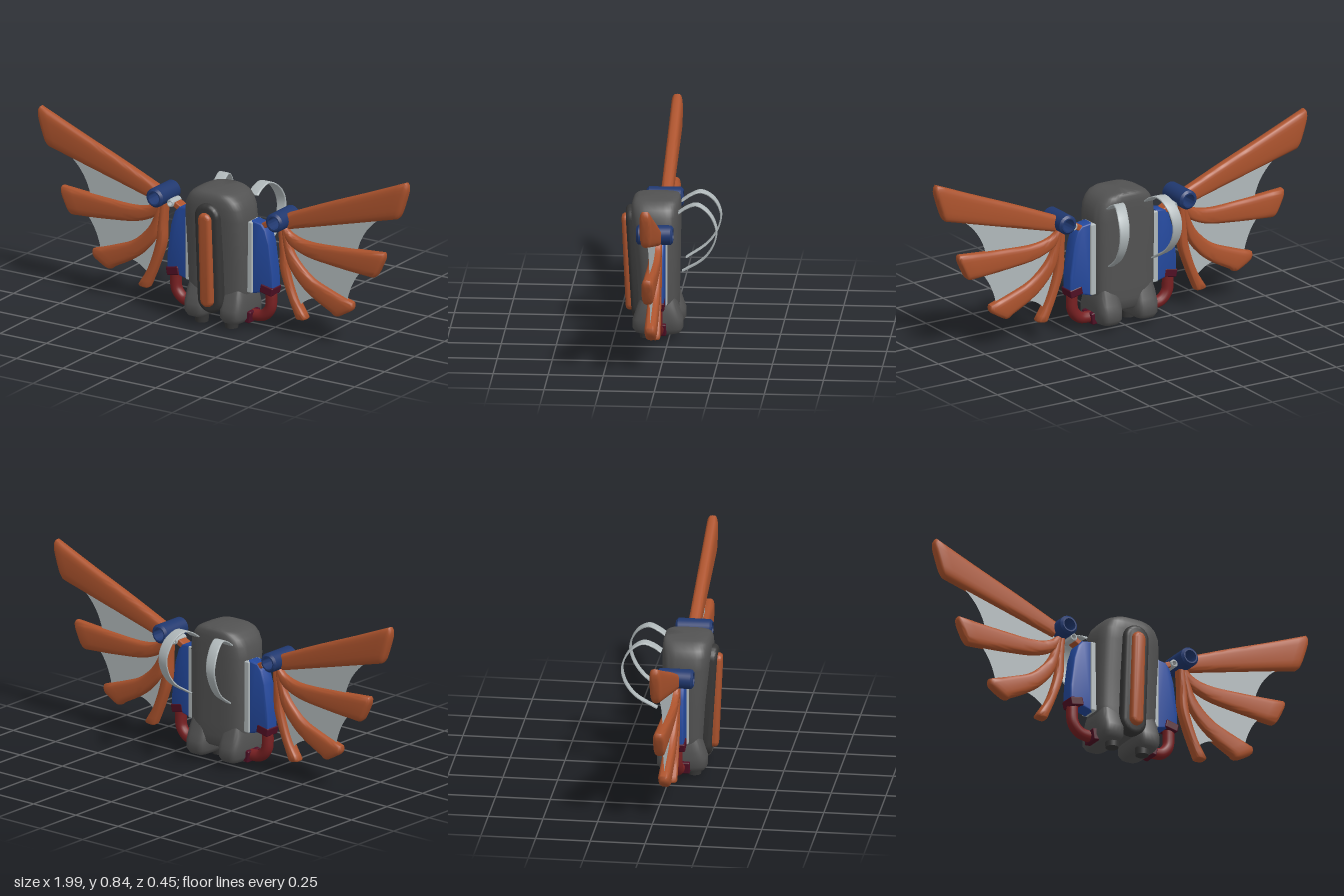
import * as THREE from 'three';
import { toCreasedNormals } from 'three/addons/utils/BufferGeometryUtils.js';
import { RoundedBoxGeometry } from 'three/addons/geometries/RoundedBoxGeometry.js';

const V = (x, y, z) => new THREE.Vector3(x, y, z);
const WING_Z = 0.0425;

// Skin over rings {c: centre, a, b: half axes}; pow < 1 squares the section off
function loft(rings, pow = 0.5, seg = 32) {
  const pos = [], idx = [];
  const n = rings.length, m = n >> 1;
  const dir = rings[m].c.clone().sub(rings[m - 1].c);
  const flip = V(0, 0, 0).crossVectors(rings[m].a, rings[m].b).dot(dir) < 0 ? -1 : 1;
  const sp = v => Math.sign(v) * Math.pow(Math.abs(v), pow);
  for (const { c, a, b } of rings) {
    for (let j = 0; j < seg; j++) {
      const t = (j / seg) * Math.PI * 2;
      const p = c.clone().addScaledVector(a, sp(Math.cos(t))).addScaledVector(b, flip * sp(Math.sin(t)));
      pos.push(p.x, p.y, p.z);
    }
  }
  for (const r of [rings[0], rings[n - 1]]) pos.push(r.c.x, r.c.y, r.c.z);
  for (let j = 0; j < seg; j++) {
    const k = (j + 1) % seg;
    for (let i = 0; i < n - 1; i++) {
      const p = i * seg, q = p + seg;
      idx.push(p + j, p + k, q + j, p + k, q + k, q + j);
    }
    const e = (n - 1) * seg;
    idx.push(n * seg, k, j, n * seg + 1, e + j, e + k);
  }
  const g = new THREE.BufferGeometry();
  g.setAttribute('position', new THREE.Float32BufferAttribute(pos, 3));
  g.setIndex(idx);
  return toCreasedNormals(g, 1.0);
}

// Upright body: rows of [y, half width, z front, z back]
const tower = (x, rows) => loft(rows.map(([y, hx, zf, zb]) => ({
  c: V(x, y, (zf + zb) / 2), a: V(hx, 0, 0), b: V(0, 0, (zf - zb) / 2),
})), 0.55, 40);

// Rounded blade between an upper and a lower edge, root to tip
function feather(upper, lower, bulge) {
  const curve = pts => new THREE.CatmullRomCurve3(pts.map(([x, y]) => V(x, y, WING_Z)));
  const cu = curve(upper), cl = curve(lower), rings = [], N = 16;
  for (let i = 0; i <= N; i++) {
    const u = cu.getPoint(i / N), l = cl.getPoint(i / N);
    rings.push({ c: u.clone().add(l).multiplyScalar(0.5), a: u.sub(l).multiplyScalar(0.5), b: V(0, 0, 0.0275) });
  }
  const end = rings[N], d = V(end.a.y, -end.a.x, 0).normalize();
  for (const [s, k] of [[0.93, 0.5], [0.78, 0.85], [0.55, 1]]) {
    rings.push({
      c: end.c.clone().addScaledVector(d, bulge * k),
      a: end.a.clone().multiplyScalar(s), b: end.b.clone().multiplyScalar(s),
    });
  }
  return loft(rings, 0.6, 24);
}

// Hollow sleeve along z with chamfered rims
function sleeve(ro, ri, len, ch, x, y, z) {
  const h = len / 2;
  const pts = [[ri, -h], [ro - ch, -h], [ro, -h + ch], [ro, h - ch], [ro - ch, h], [ri, h], [ri, -h]];
  const g = new THREE.LatheGeometry(pts.map(p => new THREE.Vector2(...p)), 28);
  return toCreasedNormals(g.rotateX(Math.PI / 2).translate(x, y, z), 0.6);
}

// Bevelled slab centred on z = 0
function slab(shape, depth, bevel) {
  const g = new THREE.ExtrudeGeometry(shape, {
    depth: depth - 2 * bevel, bevelThickness: bevel, bevelSize: bevel, bevelOffset: -bevel,
    bevelSegments: 4, curveSegments: 12,
  });
  return toCreasedNormals(g.translate(0, 0, bevel - depth / 2), 0.7);
}

// Upright pill outline
function pill(r, h) {
  const s = new THREE.Shape(), k = h / 2 - r;
  s.absarc(0, k, r, 0, Math.PI);
  s.absarc(0, -k, r, Math.PI, Math.PI * 2);
  s.closePath();
  return s;
}

const block = (w, h, d, x, y, z, rot = 0) =>
  new RoundedBoxGeometry(w, h, d, 2, 0.006).rotateZ(rot).translate(x, y, z);

// Mirror across x = 0, keeping faces outward
function mirrored(geo) {
  const g = geo.index ? geo.toNonIndexed() : geo.clone();
  g.scale(-1, 1, 1);
  for (const a of Object.values(g.attributes)) {
    const s = a.itemSize, arr = a.array;
    for (let i = 0; i < a.count; i += 3) {
      for (let k = 0; k < s; k++) {
        const p = i * s + k, q = (i + 2) * s + k;
        [arr[p], arr[q]] = [arr[q], arr[p]];
      }
    }
  }
  return g;
}

export function createModel() {
  const mat = (name, color, side = THREE.FrontSide) => {
    const m = new THREE.MeshStandardMaterial({ color, side });
    m.name = name;
    return m;
  };
  const grey = mat('body grey', 0x525252), dark = mat('dark grey', 0x363636);
  const orange = mat('burnt orange', 0xac532d), blue = mat('panel blue', 0x23489c);
  const navy = mat('navy', 0x20386f), red = mat('hose red', 0x782022);
  const maroon = mat('maroon', 0x4f0f24), light = mat('light grey', 0xb0b8ba, THREE.DoubleSide);

  const model = new THREE.Group();
  const add = (name, geo, material, parent = model) => {
    const mesh = new THREE.Mesh(geo, material);
    mesh.name = name;
    parent.add(mesh);
  };

  // Pack body
  add('packBody', tower(0, [
    [0.085, 0.11, 0.12, -0.02], [0.10, 0.135, 0.135, -0.035], [0.14, 0.15, 0.14, -0.04],
    [0.2, 0.156, 0.142, -0.04], [0.35, 0.158, 0.152, -0.043], [0.52, 0.16, 0.17, -0.046],
    [0.575, 0.154, 0.175, -0.046], [0.61, 0.137, 0.174, -0.046], [0.632, 0.117, 0.168, -0.044],
    [0.644, 0.09, 0.157, -0.04], [0.65, 0.06, 0.14, -0.033],
  ]), grey);

  // Sloping front panel with its ridge
  add('frontPanel', slab(pill(0.065, 0.53), 0.07, 0.02).rotateX(0.06).translate(0, 0.335, 0.152), dark);
  add('frontRidge', slab(pill(0.033, 0.455), 0.044, 0.018).rotateX(0.045).translate(0, 0.333, 0.19), orange);

  // Parts of the left side, mirrored for the right
  const parts = [];
  const part = (...p) => parts.push(p);

  part('lowerLobe', tower(0.095, [
    [0.027, 0.034, 0.135, -0.035], [0.034, 0.048, 0.152, -0.052], [0.055, 0.061, 0.165, -0.065],
    [0.095, 0.063, 0.164, -0.064], [0.125, 0.062, 0.153, -0.053], [0.16, 0.058, 0.142, -0.042],
    [0.21, 0.045, 0.12, -0.025],
  ]), grey);
  part('nozzle', new THREE.CylinderGeometry(0.034, 0.03, 0.04, 24).translate(0.08, 0.022, 0.103), dark);

  // Shoulder strap ribbon
  const strapPath = new THREE.CatmullRomCurve3([
    V(0.1, 0.595, -0.045), V(0.103, 0.622, -0.085), V(0.112, 0.636, -0.13), V(0.13, 0.6, -0.187),
    V(0.14, 0.53, -0.219), V(0.142, 0.46, -0.207), V(0.135, 0.39, -0.16), V(0.115, 0.325, -0.063),
  ]);
  const strap = [];
  for (let i = 0; i <= 32; i++) {
    const t = strapPath.getPoint(i / 32), d = strapPath.getTangent(i / 32);
    strap.push({
      c: t, a: V(0.028 - 0.012 * Math.max(0, i / 16 - 1), 0, 0),
      b: V(0, -d.z, d.y).normalize().multiplyScalar(0.004),
    });
  }
  part('shoulderStrap', loft(strap, 0.4, 12), light);

  // Side panel and its backing strip
  const side = new THREE.Shape([[0.17, 0.17], [0.26, 0.195], [0.285, 0.21], [0.284, 0.28], [0.265, 0.42],
    [0.245, 0.485], [0.222, 0.512], [0.17, 0.52]].map(p => new THREE.Vector2(...p)));
  part('sidePanel', slab(side, 0.07, 0.01).translate(0, 0, 0.045), blue);
  part('sideStrip', block(0.03, 0.34, 0.085, 0.165, 0.345, 0.045), light);

  // Hose and collars
  part('hose', new THREE.TubeGeometry(new THREE.CatmullRomCurve3([
    V(0.252, 0.22, 0.045), V(0.257, 0.16, 0.045), V(0.251, 0.105, 0.045),
    V(0.215, 0.067, 0.045), V(0.14, 0.06, 0.045),
  ]), 28, 0.027, 14), red);
  part('upperCollar', block(0.066, 0.04, 0.078, 0.253, 0.202, 0.047, -0.2), maroon);
  part('lowerCollar', block(0.042, 0.056, 0.084, 0.15, 0.059, 0.05, -0.15), maroon);

  // Wing hinge
  part('hingeArm', block(0.06, 0.028, 0.055, 0.228, 0.503, WING_Z, 0.5), orange);
  part('hingeRing', sleeve(0.018, 0.011, 0.075, 0.003, 0.268, 0.52, WING_Z), light);
  part('hingeLink', block(0.024, 0.014, 0.05, 0.285, 0.531, WING_Z, 0.5), light);
  part('wingPivot', sleeve(0.045, 0.029, 0.166, 0.01, 0.322, 0.549, 0.048), navy);

  // Wing feathers, from the top down
  part('topFeather', feather(
    [[0.35, 0.583], [0.55, 0.668], [0.78, 0.76], [0.985, 0.845]],
    [[0.362, 0.508], [0.52, 0.55], [0.73, 0.606], [0.925, 0.658]], 0.022), orange);
  part('secondFeather', feather(
    [[0.345, 0.515], [0.375, 0.49], [0.45, 0.468], [0.65, 0.472], [0.866, 0.487]],
    [[0.322, 0.5], [0.35, 0.445], [0.44, 0.398], [0.62, 0.372], [0.805, 0.358]], 0.016), orange);
  part('thirdFeather', feather(
    [[0.348, 0.51], [0.362, 0.45], [0.4, 0.375], [0.485, 0.297], [0.58, 0.257], [0.7, 0.216]],
    [[0.32, 0.51], [0.332, 0.43], [0.36, 0.33], [0.43, 0.245], [0.5, 0.195], [0.585, 0.15]], 0.03), orange);
  part('bottomFeather', feather(
    [[0.332, 0.51], [0.345, 0.41], [0.357, 0.315], [0.402, 0.18], [0.452, 0.098]],
    [[0.304, 0.51], [0.309, 0.41], [0.312, 0.315], [0.35, 0.2], [0.395, 0.092]], 0.01), orange);

  // Scalloped web between the feathers
  const web = new THREE.Shape();
  web.moveTo(0.34, 0.52);
  web.lineTo(0.853, 0.65);
  web.quadraticCurveTo(0.75, 0.585, 0.72, 0.47);
  web.lineTo(0.742, 0.375);
  web.quadraticCurveTo(0.685, 0.315, 0.665, 0.22);
  web.lineTo(0.52, 0.205);
  web.quadraticCurveTo(0.45, 0.195, 0.41, 0.15);
  web.lineTo(0.335, 0.32);
  web.closePath();
  part('wingWeb', new THREE.ShapeGeometry(web, 10).translate(0, 0, WING_Z), light);

  for (const label of ['left', 'right']) {
    const half = new THREE.Group();
    half.name = label + 'Side';
    for (const [name, geo, material] of parts) {
      add(label + name[0].toUpperCase() + name.slice(1), label === 'left' ? geo : mirrored(geo), material, half);
    }
    model.add(half);
  }
  return model;
}
